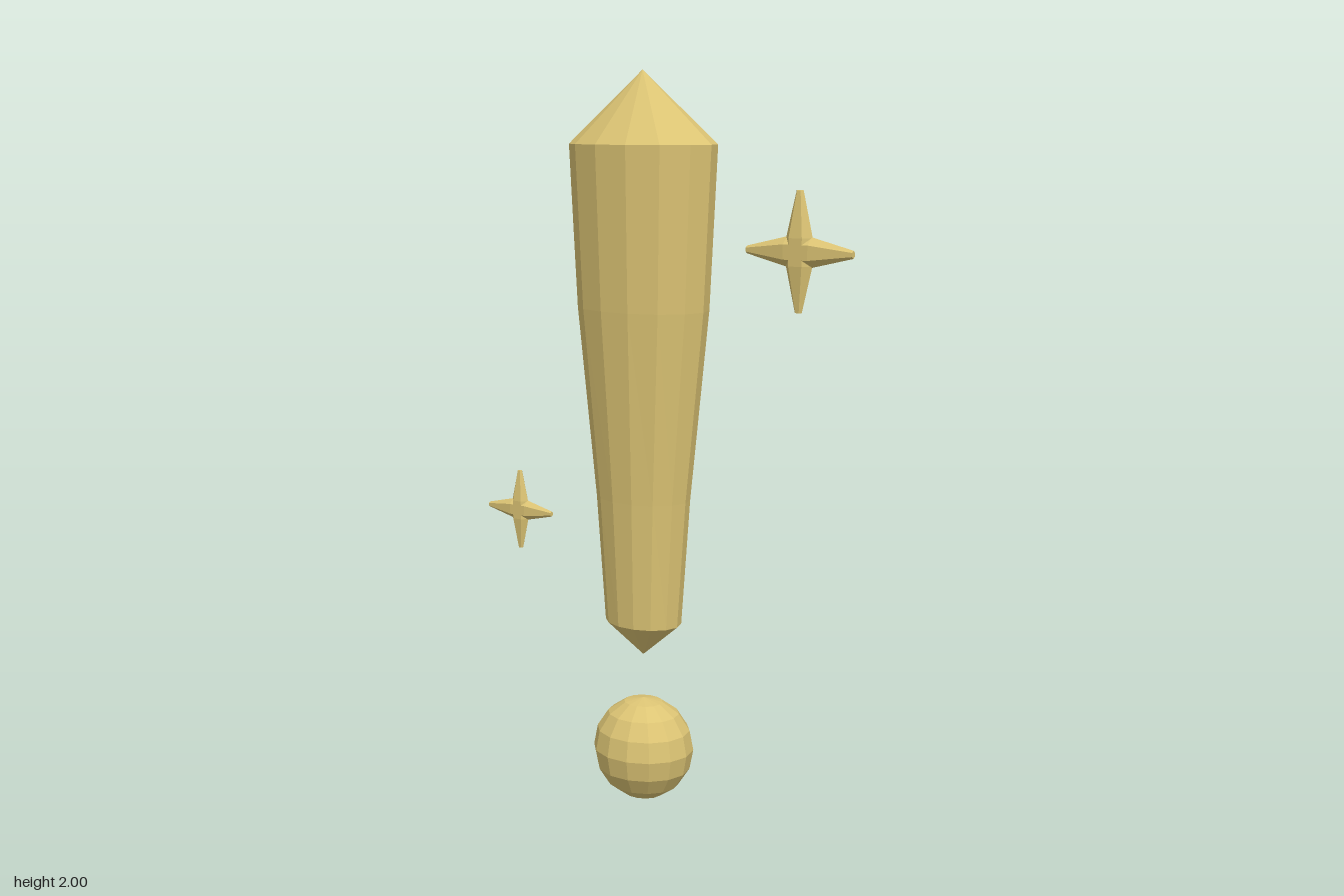
import * as THREE from 'three';

const gold = new THREE.MeshStandardMaterial({ color: 0xdcc474, flatShading: true });
gold.name = 'pale gold';

// Faceted solid with elliptical rings, listed from bottom to top as [y, radius x, radius z]
function ellipticLathe(rings, sides) {
  const points = rings.map(([y, rx]) => new THREE.Vector2(rx, y));
  const geometry = new THREE.LatheGeometry(points, sides, Math.PI / 2);
  const pos = geometry.attributes.position;
  for (let i = 0; i < pos.count; i++) {
    const [, rx, rz] = rings[i % rings.length];
    if (rx > 0) pos.setZ(i, pos.getZ(i) * rz / rx);
  }
  geometry.computeVertexNormals();
  return geometry;
}

function addMesh(parent, name, geometry) {
  const mesh = new THREE.Mesh(geometry, gold);
  mesh.name = name;
  parent.add(mesh);
  return mesh;
}

// Four-pointed sparkle: two crossed hexagonal spindles
function createSparkle(name, x, y, size) {
  const sparkle = new THREE.Group();
  sparkle.name = name;
  const rings = [
    [-0.152, 0, 0], [-0.152, 0.010, 0.008], [-0.035, 0.038, 0.025],
    [0.035, 0.038, 0.025], [0.152, 0.010, 0.008], [0.152, 0, 0],
  ];
  const spindle = ellipticLathe(rings, 6);
  addMesh(sparkle, 'verticalSpindle', spindle);
  addMesh(sparkle, 'horizontalSpindle', spindle).rotation.z = Math.PI / 2;
  sparkle.position.set(x, y, 0);
  sparkle.scale.setScalar(size);
  return sparkle;
}

export function createModel() {
  const model = new THREE.Group();
  model.name = 'exclamationMark';
  const centreX = -0.043;

  // Tapered stroke with pointed ends
  const stroke = addMesh(model, 'stroke', ellipticLathe([
    [0.42, 0, 0],
    [0.515, 0.112, 0.085],
    [0.865, 0.138, 0.101],
    [1.38, 0.192, 0.134],
    [1.81, 0.214, 0.149],
    [2.0, 0, 0],
  ], 14));
  stroke.position.x = centreX;

  // Slightly flattened dot
  const dot = addMesh(model, 'dot', new THREE.SphereGeometry(1, 14, 8));
  dot.scale.set(0.144, 0.145, 0.13);
  dot.position.set(centreX, 0.15, 0);

  // Sparkles on either side
  model.add(createSparkle('upperSparkle', 0.432, 1.55, 1));
  model.add(createSparkle('lowerSparkle', -0.473, 0.775, 0.745));
  return model;
}
